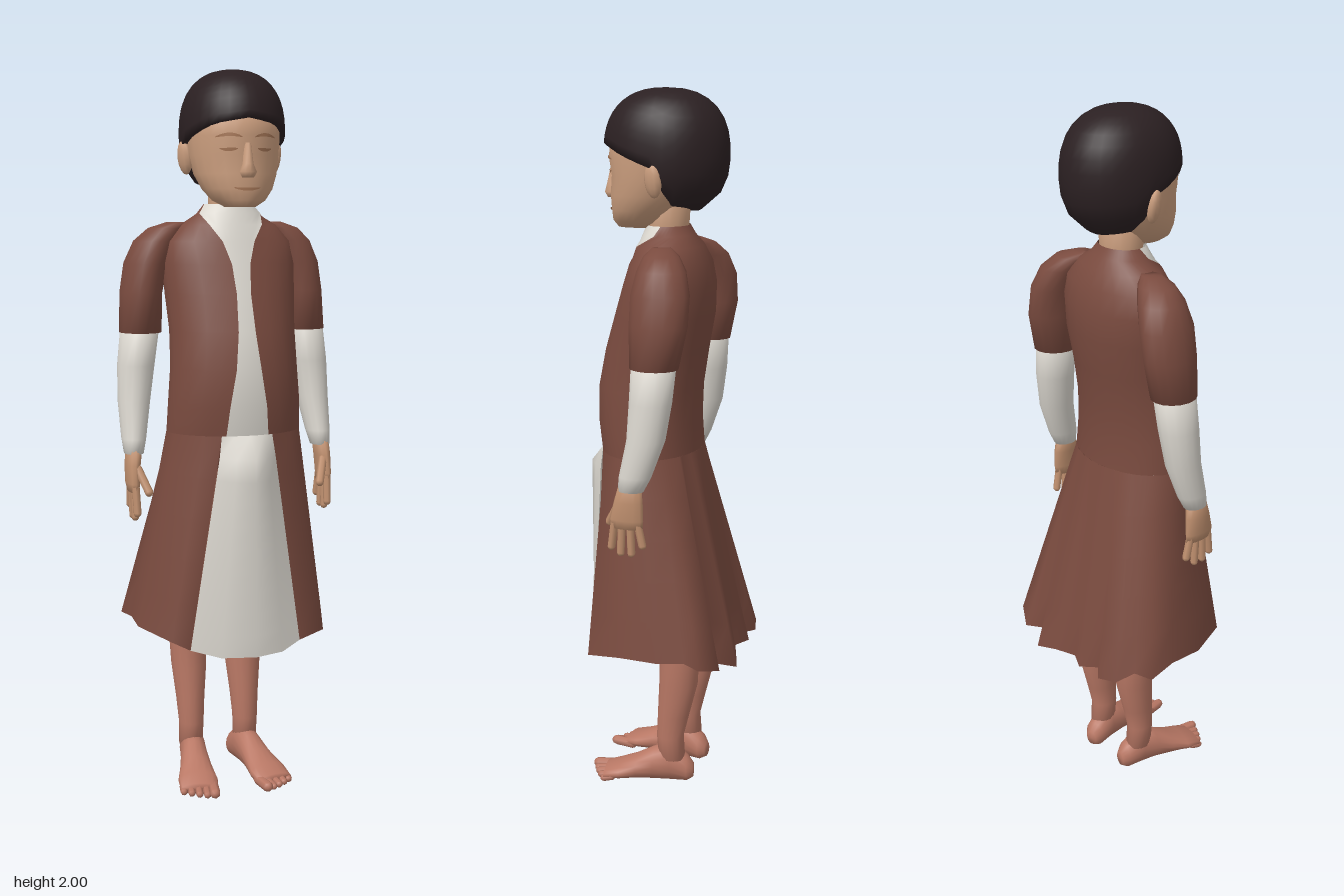
import * as THREE from 'three';
import { mergeVertices } from 'three/addons/utils/BufferGeometryUtils.js';

const mat = (name, color, side = THREE.FrontSide) => {
  const m = new THREE.MeshStandardMaterial({ color, side });
  m.name = name;
  return m;
};

// Smooth surface from a rule; u runs counter-clockwise seen from above, v runs upward
function grid(nu, nv, fn) {
  const pos = [], idx = [];
  for (let j = 0; j <= nv; j++) for (let i = 0; i <= nu; i++) pos.push(...fn(i / nu, j / nv));
  for (let j = 0; j < nv; j++) for (let i = 0; i < nu; i++) {
    const a = j * (nu + 1) + i, b = a + nu + 1;
    idx.push(a, a + 1, b + 1, a, b + 1, b);
  }
  let g = new THREE.BufferGeometry();
  g.setAttribute('position', new THREE.Float32BufferAttribute(pos, 3));
  g.setIndex(idx);
  g = mergeVertices(g, 1e-5);
  g.computeVertexNormals();
  return g;
}

// Rows are [y, centre x, radius x, centre z, radius z], from bottom to top
function loft(rows, seg = 16, arc = () => [0, Math.PI * 2]) {
  return grid(seg, rows.length - 1, (u, v) => {
    const r = rows[Math.round(v * (rows.length - 1))];
    const [a0, a1] = arc(r);
    const a = a0 + (a1 - a0) * u;
    return [r[1] + r[2] * Math.sin(a), r[0], r[3] + r[4] * Math.cos(a)];
  });
}
const capped = (rows) => {
  const end = (r) => [r[0], r[1], 0, r[3], 0];
  return [end(rows[0]), ...rows, end(rows[rows.length - 1])];
};
const lerpTable = (t, x) => {
  let i = 0;
  while (i < t.length - 2 && x > t[i + 1][0]) i++;
  const k = Math.min(1, Math.max(0, (x - t[i][0]) / (t[i + 1][0] - t[i][0])));
  return t[i].map((n, c) => n + (t[i + 1][c] - n) * k);
};

export function createModel() {
  const model = new THREE.Group();
  const coat = mat('brown coat', 0x7a4b3f, THREE.DoubleSide);
  const cloth = mat('off-white cloth', 0xdcd8d0, THREE.DoubleSide);
  const hairMat = mat('dark hair', 0x2b2022);
  const faceMat = mat('face skin', 0xcb9e7e);
  const handMat = mat('hand skin', 0xc0906f);
  const legMat = mat('leg skin', 0xb97865);
  const shade = mat('facial detail', 0xa87858, THREE.DoubleSide);

  const add = (name, geo, m, parent = model) => {
    const mesh = new THREE.Mesh(geo, m);
    mesh.name = name;
    parent.add(mesh);
    return mesh;
  };
  // Rounded digit between two points
  const digit = (name, a, b, r, m, parent) => {
    const p = new THREE.Vector3(...a), q = new THREE.Vector3(...b);
    const d = q.clone().sub(p);
    const mesh = add(name, new THREE.CapsuleGeometry(r, d.length(), 3, 7), m, parent);
    mesh.position.copy(p).add(q).multiplyScalar(0.5);
    mesh.quaternion.setFromUnitVectors(new THREE.Vector3(0, 1, 0), d.normalize());
  };

  // Torso: [y, half width, front z, back z, half width of the open front]
  const torso = [
    [1.02, 0.19, 0.185, -0.09, 0.06], [1.1, 0.187, 0.195, -0.085, 0.052],
    [1.2, 0.18, 0.195, -0.09, 0.035], [1.3, 0.178, 0.175, -0.105, 0.024],
    [1.4, 0.185, 0.145, -0.122, 0.02], [1.48, 0.188, 0.12, -0.122, 0.026],
    [1.54, 0.178, 0.1, -0.11, 0.045], [1.585, 0.135, 0.085, -0.09, 0.075],
    [1.615, 0.09, 0.072, -0.068, 0.088], [1.64, 0.07, 0.062, -0.055, 0.07],
  ].map(([y, rx, f, b, w]) => [y, 0.005, rx, (f + b) / 2, (f - b) / 2, Math.asin(Math.min(1, w / rx))]);
  add('coatBody', loft(torso, 24, (r) => [r[5], Math.PI * 2 - r[5]]), coat);
  add('tunicFront', loft(torso, 8, (r) => [-r[5], r[5]]), cloth);

  // Coat skirt: folded hem gathered onto the waist
  const hem = [
    [0.16, 0.43, 0.18], [0.235, 0.45, 0.167], [0.27, 0.47, 0.06], [0.275, 0.47, -0.05],
    [0.25, 0.47, -0.12], [0.265, 0.46, -0.17], [0.2, 0.44, -0.21], [0.155, 0.44, -0.18],
    [0.115, 0.42, -0.235], [0.05, 0.43, -0.215], [-0.01, 0.43, -0.195], [-0.06, 0.43, -0.222],
    [-0.1, 0.43, -0.185], [-0.14, 0.43, -0.22], [-0.2, 0.44, -0.205], [-0.225, 0.46, -0.155],
    [-0.28, 0.46, -0.14], [-0.27, 0.47, -0.05], [-0.275, 0.47, 0.05], [-0.215, 0.46, 0.188],
    [-0.16, 0.43, 0.185],
  ];
  const last = hem.length - 1;
  const edge = Math.asin(0.072 / 0.19);
  const waist = (a) => [0.005 + 0.19 * Math.sin(a), 1.02, 0.0475 + 0.1375 * Math.cos(a)];
  add('coatSkirt', grid(last, 5, (u, v) => {
    const i = Math.round(u * last), p = hem[i];
    const a = i === 0 ? edge : i === last ? -edge : Math.atan2(p[0] / 0.28, (p[2] + 0.01) / 0.2);
    const q = waist(a);
    return p.map((n, c) => n + (q[c] - n) * v);
  }), coat);

  // Pale front panel, standing proud of the coat
  const panelHem = [[-0.16, 0.43, 0.185], [-0.08, 0.41, 0.215], [0.015, 0.41, 0.235], [0.1, 0.41, 0.208], [0.16, 0.43, 0.18]];
  add('tunicSkirt', grid(4, 10, (u, v) => {
    const p = panelHem[Math.round(u * 4)];
    const q = waist(Math.asin(p[0] * 0.45 / 0.19));
    const out = Math.min(1, (1 - v) / 0.1);
    return [p[0] + (q[0] - p[0]) * v, p[1] + (q[1] - p[1]) * v, q[2] + (p[2] - q[2]) * out];
  }), cloth);

  for (const s of [1, -1]) {
    const side = s > 0 ? 'left' : 'right';
    const mirror = (rows) => rows.map(([y, x, ...r]) => [y, x * s, ...r]);

    // Arm: short coat sleeve over a pale sleeve
    add(side + 'CoatSleeve', loft(mirror(capped([
      [1.29, 0.24, 0.059, -0.035, 0.066], [1.4, 0.235, 0.058, -0.045, 0.08],
      [1.48, 0.22, 0.061, -0.045, 0.08], [1.54, 0.195, 0.06, -0.04, 0.066],
      [1.575, 0.165, 0.052, -0.03, 0.047], [1.592, 0.135, 0.03, -0.02, 0.025],
    ]))), coat);
    add(side + 'Forearm', loft(mirror(capped([
      [0.96, 0.275, 0.027, 0.02, 0.036], [1.0, 0.272, 0.034, 0.008, 0.045],
      [1.1, 0.264, 0.045, -0.02, 0.053], [1.2, 0.255, 0.052, -0.03, 0.058],
      [1.3, 0.242, 0.054, -0.035, 0.061],
    ]))), cloth);

    // Hand
    const hand = new THREE.Group();
    hand.name = side + 'Hand';
    model.add(hand);
    add('palm', loft(mirror(capped([
      [0.855, 0.28, 0.014, 0.03, 0.045], [0.88, 0.282, 0.018, 0.03, 0.048],
      [0.93, 0.28, 0.021, 0.025, 0.041], [0.975, 0.275, 0.023, 0.022, 0.032],
    ])), 12), handMat, hand);
    [[0.065, 0.075, 0.8], [0.043, 0.048, 0.785], [0.02, 0.018, 0.785], [-0.002, -0.014, 0.81]].forEach(([z0, z1, y]) =>
      digit('finger', [0.281 * s, 0.87, z0], [0.279 * s, y, z1], 0.011, handMat, hand));
    digit('thumb', [0.272 * s, 0.92, 0.055], [0.25 * s, 0.86, 0.09], 0.012, handMat, hand);

    // Leg
    const cx = -0.02 + 0.082 * s;
    add(side + 'Leg', loft(capped([
      [0.08, cx, 0.034, -0.025, 0.04], [0.15, cx, 0.036, -0.02, 0.04],
      [0.22, cx, 0.041, -0.03, 0.047], [0.32, cx, 0.051, -0.045, 0.057],
      [0.42, cx + 0.003 * s, 0.054, -0.05, 0.058], [0.5, cx, 0.056, -0.045, 0.06],
      [0.9, cx + 0.01 * s, 0.08, 0.02, 0.08],
    ])), legMat);

    // Foot: built along its length, turned outward
    const foot = new THREE.Group();
    foot.name = side + 'Foot';
    foot.position.x = cx;
    foot.rotation.y = 0.17 * s;
    model.add(foot);
    add('sole', loft(capped([
      [-0.088, 0, 0.018, -0.04, 0.022], [-0.07, 0, 0.033, -0.047, 0.04],
      [-0.02, 0, 0.037, -0.066, 0.06], [0.03, 0, 0.039, -0.056, 0.05],
      [0.08, 0, 0.046, -0.042, 0.036], [0.13, 0, 0.056, -0.03, 0.024],
      [0.175, 0, 0.053, -0.022, 0.015],
    ])).rotateX(Math.PI / 2), legMat, foot);
    [0.206, 0.203, 0.196, 0.186, 0.174].forEach((z, i) => {
      const x = (-0.04 + i * 0.021) * s, r = i ? 0.0105 : 0.015;
      digit('toe', [x, 0.02, 0.15], [x, r + 0.004, z], r, legMat, foot);
    });
  }

  // Neck and head
  add('neck', loft(capped([
    [1.57, 0.008, 0.062, 0, 0.055], [1.64, 0.008, 0.06, 0.004, 0.057], [1.74, 0.01, 0.066, 0.0, 0.06],
  ])), faceMat);
  const headRows = [
    [1.632, 0.04, 0.145, 0.04], [1.65, 0.072, 0.158, 0], [1.68, 0.096, 0.16, -0.03],
    [1.72, 0.113, 0.162, -0.07], [1.77, 0.123, 0.158, -0.1], [1.82, 0.128, 0.166, -0.12],
    [1.87, 0.128, 0.16, -0.13], [1.93, 0.1, 0.11, -0.11],
  ].map(([y, rx, f, b]) => [y, 0.01, rx, (f + b) / 2, (f - b) / 2]);
  add('head', loft(capped(headRows), 24), faceMat);

  // Nose, chin and ears
  add('nose', loft(capped([
    [1.71, 0.01, 0.017, 0.158, 0.02], [1.724, 0.01, 0.024, 0.16, 0.026],
    [1.745, 0.01, 0.015, 0.158, 0.022], [1.8, 0.01, 0.009, 0.155, 0.012],
  ]), 10), faceMat);
  for (const s of [1, -1]) {
    const ear = add(s > 0 ? 'leftEar' : 'rightEar', new THREE.SphereGeometry(1, 10, 8), faceMat);
    ear.scale.set(0.016, 0.046, 0.026);
    ear.position.set(0.01 + 0.13 * s, 1.765, 0.002);
    ear.rotation.set(0, -0.35 * s, -0.15 * s);
  }

  // Facial details laid on the face surface
  const patch = (name, x0, x1, y0, bend, h) => add(name, grid(8, 1, (u, v) => {
    const x = x0 + (x1 - x0) * u, k = 1 - (2 * u - 1) ** 2;
    const y = y0 + bend * k + (v - 0.5) * h * (0.3 + 0.7 * k);
    const r = lerpTable(headRows, y);
    return [0.01 + x, y, r[3] + r[4] * Math.sqrt(1 - (x / r[2]) ** 2) + 0.003];
  }), shade);
  for (const s of [-1, 1]) {
    patch('eyebrow', 0.05 * s - 0.032, 0.05 * s + 0.032, 1.815, 0.006, 0.009);
    patch('eye', 0.05 * s - 0.022, 0.05 * s + 0.022, 1.785, -0.003, 0.009);
  }
  patch('mouth', -0.036, 0.036, 1.683, -0.004, 0.008);

  // Hair: rounded cap whose lower edge rises over the face and ears
  const hairline = [[0, 1.865], [0.7, 1.85], [1.3, 1.815], [1.62, 1.795], [1.85, 1.7], [Math.PI, 1.68]];
  add('hair', grid(32, 12, (u, v) => {
    const a = u * Math.PI * 2;
    const low = lerpTable(hairline, Math.min(a, Math.PI * 2 - a))[1];
    const t = Math.max(0, (v - 1 / 12) * 12 / 11);
    const y = low + (2 - low) * Math.sin(t * Math.PI / 2);
    const n = y > 1.83 ? (y - 1.83) / 0.17 : (1.83 - y) / 0.165;
    const r = Math.max(0, 1 - n ** 2.4) ** (1 / 2.4) * (v === 0 ? 0.75 : 1);
    return [0.012 + 0.143 * r * Math.sin(a), y, 0.007 + 0.173 * r * Math.cos(a)];
  }), hairMat);

  return model;
}
